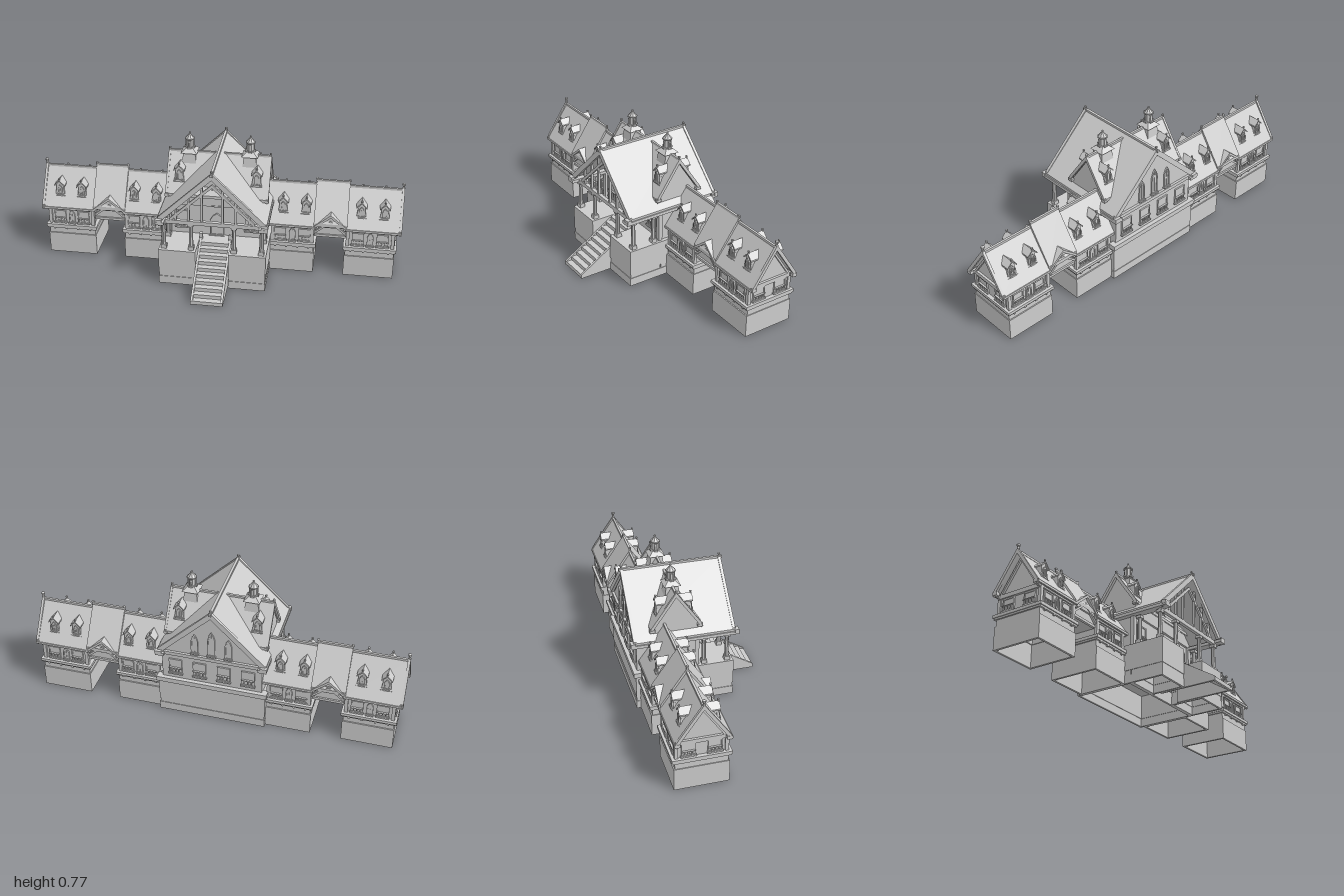
import * as THREE from 'three';

const mat = new THREE.MeshStandardMaterial({ color: 0xcccccc, flatShading: true, side: THREE.DoubleSide });
const PI = Math.PI;
const WZ = -0.18; // centre line of the wings
const CZ = -0.12; // centre line of the cross roof

function add(parent, name, geo, x = 0, y = 0, z = 0, ry = 0) {
  const m = new THREE.Mesh(geo, mat);
  m.name = name;
  m.position.set(x, y, z);
  m.rotation.y = ry;
  parent.add(m);
  return m;
}
function group(parent, name, x = 0, y = 0, z = 0, ry = 0) {
  const g = new THREE.Group();
  g.name = name;
  g.position.set(x, y, z);
  g.rotation.y = ry;
  parent.add(g);
  return g;
}
// box given by its ranges
const span = (p, name, x0, x1, y0, y1, z0, z1) =>
  add(p, name, new THREE.BoxGeometry(Math.abs(x1 - x0), y1 - y0, Math.abs(z1 - z0)), (x0 + x1) / 2, (y0 + y1) / 2, (z0 + z1) / 2);
const poly = (pts) => new THREE.Shape(pts.map(([x, y]) => new THREE.Vector2(x, y)));
function extrude(shape, depth) {
  return new THREE.ExtrudeGeometry(shape, { depth, bevelEnabled: false }).translate(0, 0, -depth / 2);
}
// folded roof sheet, ridge along local z
const chevron = (hw, ey, ry, t, len) =>
  extrude(poly([[hw, ey], [0, ry], [-hw, ey], [-hw, ey - t], [0, ry - t], [hw, ey - t]]), len);
const gableWall = (hw, ey, ry, len) => extrude(poly([[-hw, ey], [hw, ey], [0, ry]]), len);

// bottomless stone plinth made of four walls
function plinth(p, name, x0, x1, z0, z1, y0, y1, t = 0.012) {
  const g = group(p, name);
  for (const x of [x0, x1 - t]) span(g, name + 'Side', x, x + t, y0, y1, z0, z1);
  for (const z of [z0, z1 - t]) span(g, name + 'Face', x0 + t, x1 - t, y0, y1, z, z + t);
}

// framed window facing local +z; pointed ones have a gothic top
function windowUnit(p, name, w, h, x, y, z, ry = 0, pointed = false, rail = false) {
  const g = group(p, name, x, y, z, ry);
  const outline = (a, b, c) => pointed
    ? [[-a, c], [a, c], [a, b * 0.68], [a * 0.6, b * 0.87], [0, b], [-a * 0.6, b * 0.87], [-a, b * 0.68]]
    : [[-a, c], [a, c], [a, b], [-a, b]];
  const f = 0.006;
  const frame = poly(outline(w / 2, h, 0));
  frame.holes.push(poly(outline(w / 2 - f, h - f * 1.3, f)));
  add(g, 'frame', extrude(frame, 0.012));
  add(g, 'pane', extrude(poly(outline(w / 2 - f, h - f, f)), 0.004));
  span(g, 'sill', -w / 2 - 0.004, w / 2 + 0.004, -0.006, 0.002, -0.006, 0.011);
  if (pointed) span(g, 'mullion', -0.002, 0.002, f, h - f, 0, 0.005);
  if (rail) {
    span(g, 'rail', -w / 2, w / 2, h * 0.36, h * 0.42, 0, 0.012);
    for (let i = -1; i <= 1; i++) span(g, 'baluster', i * w / 4 - 0.003, i * w / 4 + 0.003, 0, h * 0.37, 0, 0.009);
  }
}

function finial(p, x, y, z, s = 1) {
  const prof = [[0, 0], [0.006, 0], [0.004, 0.01], [0.0075, 0.013], [0.0075, 0.02], [0, 0.024]];
  add(p, 'finial', new THREE.LatheGeometry(prof.map(([r, h]) => new THREE.Vector2(r * s, h * s)), 6), x, y, z);
}

// small gabled roof window; y is where the roof meets its front
function dormer(p, x, y, z, ry) {
  const g = group(p, 'dormer', x, y, z, ry);
  span(g, 'dormerBody', -0.02, 0.02, -0.005, 0.065, -0.05, 0);
  add(g, 'dormerGable', gableWall(0.022, 0.06, 0.083, 0.056), 0, 0, -0.028);
  add(g, 'dormerRoof', chevron(0.029, 0.06, 0.09, 0.008, 0.068), 0, 0, -0.026);
  for (const s of [-1, 1]) {
    add(g, 'dormerScroll', extrude(poly([[0, 0], [s * 0.012, 0], [s * 0.006, 0.012], [s * 0.002, 0.04], [0, 0.04]]), 0.012), s * 0.019, -0.005, -0.004);
  }
  span(g, 'dormerSill', -0.03, 0.03, -0.012, -0.003, -0.015, 0.008);
  windowUnit(g, 'dormerWindow', 0.026, 0.058, 0, 0.003, 0.001, 0, true);
  finial(g, 0, 0.084, 0.002, 0.8);
}

function column(p, x, z) {
  const g = group(p, 'porchColumn', x, 0.21, z);
  span(g, 'foot', -0.015, 0.015, 0, 0.022, -0.015, 0.015);
  add(g, 'shaft', new THREE.CylinderGeometry(0.0105, 0.0125, 0.13, 8), 0, 0.085, 0);
  span(g, 'capital', -0.015, 0.015, 0.145, 0.16, -0.015, 0.015);
}

// one wing block: plinth, storey with windows, roof and dormers
function wingBlock(p, s, a, b, ra, rb, endWall) {
  const g = group(p, 'wingBlock');
  const lo = Math.min(s * a, s * b), hi = Math.max(s * a, s * b), mid = (lo + hi) / 2, w = hi - lo;
  plinth(g, 'plinth', lo, hi, WZ - 0.138, WZ + 0.138, 0, 0.122);
  plinth(g, 'plinthUpper', lo + 0.004, hi - 0.004, WZ - 0.132, WZ + 0.132, 0.122, 0.157);
  span(g, 'corbelCourse', lo - 0.004, hi + 0.004, 0.157, 0.166, WZ - 0.142, WZ + 0.142);
  span(g, 'ledge', lo - 0.008, hi + 0.008, 0.166, 0.182, WZ - 0.148, WZ + 0.148);
  span(g, 'storey', lo + 0.012, hi - 0.012, 0.182, 0.285, WZ - 0.122, WZ + 0.122);
  for (const f of [-1, 1]) {
    const ry = f > 0 ? 0 : PI, z = WZ + f * 0.124;
    for (const e of [-1, 1]) {
      windowUnit(g, 'wingWindow', 0.064, 0.072, mid + e * 0.066, 0.19, z, ry, false, true);
      const px = mid + e * (w / 2 - 0.014);
      span(g, 'cornerPost', px - 0.009, px + 0.009, 0.182, 0.282, z - 0.009, z + 0.009);
      dormer(g, mid + e * 0.0625 + s * 0.005, 0.345, WZ + f * 0.092, ry);
    }
    windowUnit(g, 'wingArchedWindow', 0.034, 0.078, mid, 0.188, z, ry, true);
    span(g, 'eaveBeam', lo - 0.01, hi + 0.01, 0.268, 0.284, z - 0.006, z + 0.006);
    for (let i = 0; i < 4; i++) {
      const bx = lo + w * (i + 0.5) / 4;
      span(g, 'corbel', bx - 0.005, bx + 0.005, 0.15, 0.158, WZ + f * 0.13, WZ + f * 0.142);
    }
  }
  // roof with raised verge at its ends
  const r0 = s * ra, r1 = s * rb, rm = (r0 + r1) / 2, len = Math.abs(r1 - r0);
  add(g, 'wingRoof', chevron(0.138, 0.288, 0.48, 0.014, len), rm, 0, WZ, PI / 2);
  span(g, 'ridgeCap', r0, r1, 0.474, 0.486, WZ - 0.006, WZ + 0.006);
  for (const f of [-1, 1]) span(g, 'gutter', r0, r1, 0.276, 0.288, WZ + f * 0.129, WZ + f * 0.142);
  if (!endWall) return;
  // outer gable end
  const ex = s * b;
  add(g, 'endGable', gableWall(0.122, 0.283, 0.465, 0.02), ex - s * 0.022, 0, WZ, PI / 2);
  add(g, 'bargeBoard', chevron(0.134, 0.298, 0.495, 0.03, 0.014), r1 - s * 0.004, 0, WZ, PI / 2);
  add(g, 'innerBarge', chevron(0.115, 0.288, 0.458, 0.018, 0.012), ex - s * 0.006, 0, WZ, PI / 2);
  span(g, 'endBeam', ex - s * 0.016, ex, 0.262, 0.284, WZ - 0.13, WZ + 0.13);
  finial(g, r1 - s * 0.004, 0.49, WZ, 1.3);
  for (const f of [-1, 1]) {
    windowUnit(g, 'endWindow', 0.07, 0.068, ex - s * 0.01, 0.192, WZ + f * 0.065, s * PI / 2, false, true);
    span(g, 'bargeFoot', r1 - s * 0.016, r1 + s * 0.004, 0.274, 0.292, WZ + f * 0.112, WZ + f * 0.138);
  }
}

// raised link spanning the gap between wing blocks
function bridge(p, s) {
  const g = group(p, 'bridge', s * 0.61, 0, 0);
  span(g, 'bridgeBody', -0.095, 0.095, 0.225, 0.295, WZ - 0.115, WZ + 0.115);
  add(g, 'bridgeRoof', chevron(0.134, 0.308, 0.503, 0.02, 0.18), 0, 0, WZ, PI / 2);
  add(g, 'bridgeRoofCore', gableWall(0.12, 0.29, 0.47, 0.17), 0, 0, WZ, PI / 2);
  span(g, 'ridgeCap', -0.09, 0.09, 0.497, 0.508, WZ - 0.006, WZ + 0.006);
  add(g, 'bridgeGable', gableWall(0.084, 0.28, 0.35, 0.25), 0, 0, WZ);
  add(g, 'bridgeGableRoof', chevron(0.094, 0.287, 0.366, 0.016, 0.28), 0, 0, WZ);
  for (const f of [-1, 1]) {
    add(g, 'bridgeBrace', chevron(0.084, 0.255, 0.325, 0.014, 0.012), 0, 0, WZ + f * 0.124);
    span(g, 'bridgeSill', -0.084, 0.084, 0.222, 0.236, WZ + f * 0.11, WZ + f * 0.124);
    finial(g, f * 0.088, 0.495, WZ, 1);
  }
}

function turret(p, x) {
  const g = group(p, 'turret', x, 0, CZ);
  add(g, 'turretNeck', new THREE.CylinderGeometry(0.045, 0.055, 0.06, 4, 1, false, PI / 4), 0, 0.628, 0);
  add(g, 'turretSkirt', new THREE.CylinderGeometry(0.025, 0.062, 0.022, 4, 1, false, PI / 4), 0, 0.669, 0);
  add(g, 'lantern', new THREE.CylinderGeometry(0.019, 0.019, 0.055, 8, 1, false, PI / 8), 0, 0.705, 0);
  for (let i = 0; i < 4; i++) {
    const a = i * PI / 2;
    windowUnit(g, 'lanternWindow', 0.013, 0.036, Math.sin(a) * 0.017, 0.686, Math.cos(a) * 0.017, a);
  }
  add(g, 'lanternEave', new THREE.CylinderGeometry(0.027, 0.027, 0.005, 8, 1, false, PI / 8), 0, 0.732, 0);
  add(g, 'lanternRoof', new THREE.ConeGeometry(0.025, 0.03, 8, 1, false, PI / 8), 0, 0.749, 0);
  finial(g, 0, 0.752, 0, 0.75);
}

function hall(p) {
  const g = group(p, 'hall');
  // stepped plinth: rear block and two porch blocks beside the stair
  const blocks = [[-0.288, 0.288, -0.34, -0.005], [-0.288, -0.088, -0.005, 0.187], [0.088, 0.288, -0.005, 0.187]];
  for (const [x0, x1, z0, z1] of blocks) {
    plinth(g, 'hallPlinth', x0, x1, z0, z1, 0, 0.045);
    plinth(g, 'hallPlinthStep', x0 + 0.003, x1 - 0.003, z0 + 0.003, z1 - 0.003, 0.045, 0.07);
    plinth(g, 'hallPlinthUpper', x0, x1, z0, z1, 0.07, 0.182);
    span(g, 'floor', x0, x1, 0.18, 0.21, z0, z1);
  }
  span(g, 'landing', -0.088, 0.088, 0.18, 0.21, -0.005, 0.045);
  span(g, 'rearLedge', -0.298, 0.298, 0.198, 0.225, -0.352, -0.31);
  span(g, 'hallWalls', -0.268, 0.268, 0.21, 0.395, -0.33, -0.012);
  add(g, 'hallGable', gableWall(0.27, 0.39, 0.66, 0.318), 0, 0, -0.171);
  add(g, 'hallRoof', chevron(0.29, 0.405, 0.682, 0.022, 0.535), 0, 0, -0.0775);
  span(g, 'hallRidge', -0.007, 0.007, 0.674, 0.687, -0.355, 0.2);
  for (const z of [0.185, -0.34]) {
    add(g, 'hallBarge', chevron(0.286, 0.412, 0.69, 0.038, 0.016), 0, 0, z);
    finial(g, 0, 0.684, z, 0.9);
  }
  for (const s of [-1, 1]) {
    span(g, 'eaveBeam', s * 0.25, s * 0.296, 0.376, 0.393, -0.36, 0.212);
    for (const z of [0.2, -0.352]) span(g, 'eaveBlock', s * 0.262, s * 0.298, 0.385, 0.405, z - 0.011, z + 0.011);
    for (const z of [0.155, 0.03]) column(g, s * 0.262, z);
    column(g, s * 0.115, 0.155);
    span(g, 'wallPilaster', s * 0.25, s * 0.275, 0.21, 0.378, -0.02, 0.002);
    windowUnit(g, 'frontWindow', 0.075, 0.1, s * 0.19, 0.25, -0.01, 0, false, true);
    for (const x of [0.055, 0.125, 0.195]) {
      span(g, 'gablePost', s * x - 0.006, s * x + 0.006, 0.385, 0.66 - x * 0.955, 0.158, 0.17);
    }
    for (const x of [0.065, 0.195]) windowUnit(g, 'rearWindow', 0.07, 0.09, s * x, 0.258, -0.332, PI, false, true);
    windowUnit(g, 'rearGableWindow', 0.036, 0.12, s * 0.09, 0.41, -0.332, PI, true);
  }
  // open porch truss
  span(g, 'tieBeam', -0.275, 0.275, 0.368, 0.39, 0.152, 0.172);
  add(g, 'trussRafters', chevron(0.225, 0.4, 0.615, 0.02, 0.012), 0, 0, 0.164);
  span(g, 'rearTieBeam', -0.285, 0.285, 0.378, 0.398, -0.343, -0.325);
  windowUnit(g, 'frontDoor', 0.075, 0.135, 0, 0.212, -0.008, 0, true);
  windowUnit(g, 'upperWindow', 0.07, 0.125, 0, 0.395, -0.008, 0, true);
  windowUnit(g, 'rearGableWindow', 0.04, 0.15, 0, 0.41, -0.332, PI, true);

  // cross roof with its gables, dormers and turrets
  span(g, 'crossWalls', -0.262, 0.262, 0.39, 0.46, CZ - 0.12, CZ + 0.12);
  add(g, 'crossGable', gableWall(0.122, 0.455, 0.635, 0.524), 0, 0, CZ, PI / 2);
  add(g, 'crossRoof', chevron(0.136, 0.462, 0.655, 0.016, 0.55), 0, 0, CZ, PI / 2);
  span(g, 'crossRidge', -0.275, 0.275, 0.65, 0.661, CZ - 0.006, CZ + 0.006);
  for (const s of [-1, 1]) {
    add(g, 'crossBarge', chevron(0.134, 0.468, 0.663, 0.028, 0.012), s * 0.272, 0, CZ, PI / 2);
    finial(g, s * 0.272, 0.655, CZ, 0.9);
    turret(g, s * 0.163);
    for (const f of [-1, 1]) {
      dormer(g, s * 0.208, 0.525, CZ + f * 0.09, f > 0 ? 0 : PI);
      span(g, 'crossBargeFoot', s * 0.26, s * 0.28, 0.446, 0.46, CZ + f * 0.112, CZ + f * 0.14);
    }
  }
}

function stairs(p) {
  const g = group(p, 'stairs');
  const n = 10, run = 0.032, rise = 0.021, z0 = 0.365;
  const top = [], under = [];
  for (let i = 0; i < n; i++) {
    top.push([z0 - i * run, i * rise], [z0 - i * run, (i + 1) * rise]);
    under.unshift([z0 - (i + 1) * run, i * rise], [z0 - (i + 1) * run, (i + 1) * rise - 0.005]);
  }
  under.shift();
  // profiles are drawn in z and y, then turned to face sideways
  const steps = poly([...top, [z0 - n * run, n * rise], [z0 - n * run, n * rise - 0.012], [z0 - 0.012, 0]]);
  add(g, 'steps', extrude(steps, 0.15), 0, 0, 0, -PI / 2);
  const side = poly([[0.367, 0], [0.367, 0.022], [0.04, 0.222], [0.04, 0]]);
  for (const s of [-1, 1]) {
    add(g, 'stairWall', extrude(side, 0.012), s * 0.08, 0, 0, -PI / 2);
    span(g, 'newel', s * 0.08 - 0.009, s * 0.08 + 0.009, 0.2, 0.245, 0.028, 0.046);
  }
}

export function createModel() {
  const model = new THREE.Group();
  model.name = 'gabledHall';
  hall(model);
  stairs(model);
  for (const s of [-1, 1]) {
    const wing = group(model, s > 0 ? 'leftWing' : 'rightWing');
    wingBlock(wing, s, 0.285, 0.528, 0.26, 0.53, false);
    wingBlock(wing, s, 0.692, 0.962, 0.69, 0.988, true);
    bridge(wing, s);
  }
  return model;
}
